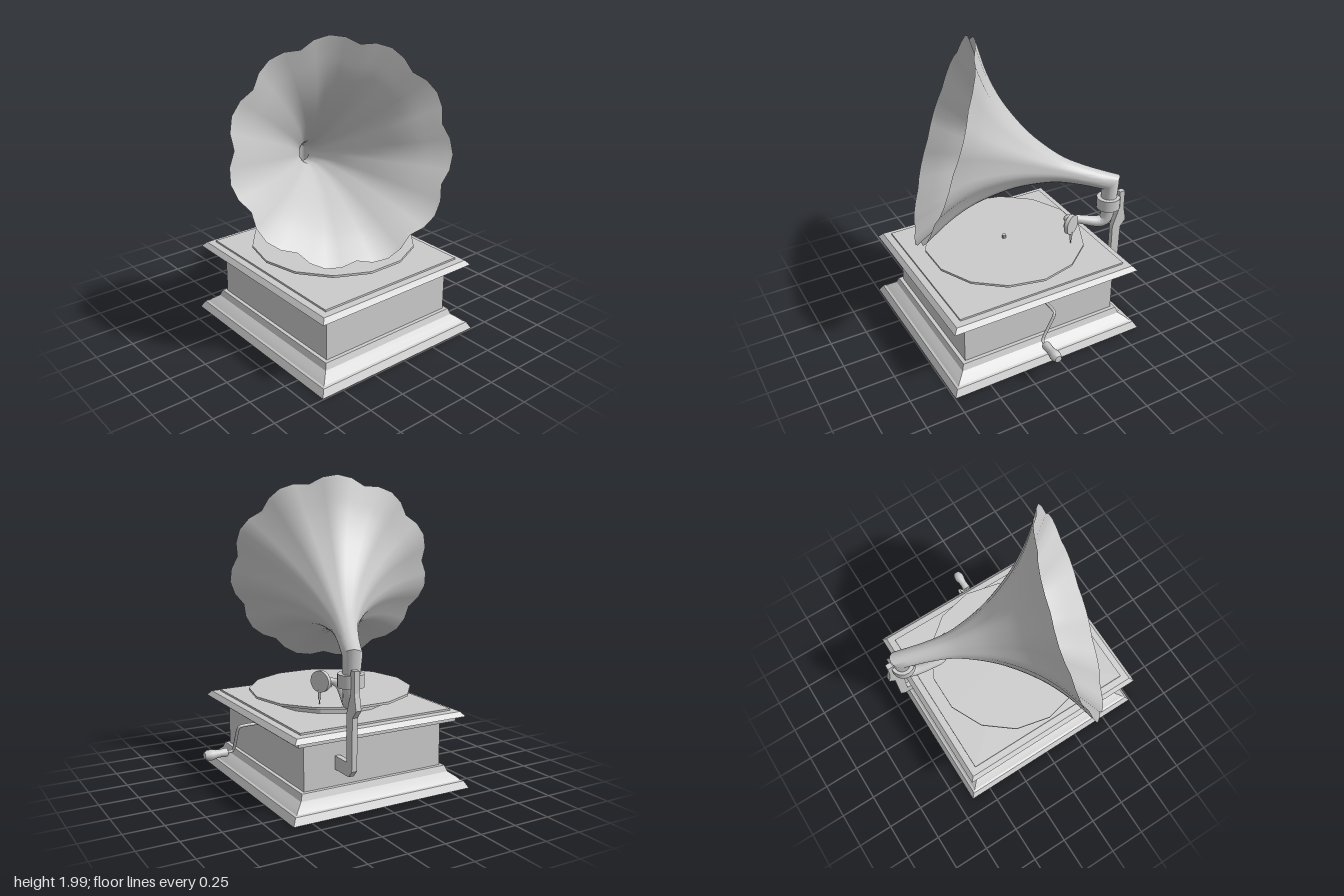
import * as THREE from 'three';
import { toCreasedNormals } from 'three/addons/utils/BufferGeometryUtils.js';

const V = (x, y, z) => new THREE.Vector3(x, y, z);
const grey = new THREE.MeshStandardMaterial({ color: 0xcccccc });
const greyDouble = new THREE.MeshStandardMaterial({ color: 0xcccccc, side: THREE.DoubleSide });
const CX = -0.015, CZ = 0.05; // centre of the cabinet and turntable

// Skin a list of closed rings with equal point counts
function loft(rings, crease) {
  const n = rings[0].length, index = [];
  for (let j = 0; j < rings.length - 1; j++) {
    for (let i = 0; i < n; i++) {
      const a = j * n + i, b = j * n + (i + 1) % n;
      index.push(a, b, a + n, b, b + n, a + n);
    }
  }
  const g = new THREE.BufferGeometry().setFromPoints(rings.flat());
  g.setIndex(index);
  return toCreasedNormals(g, crease);
}

// Ring of points around c, spanned by axes h and k; radius may vary with the angle
function ring(c, h, k, n, radius, start = 0) {
  return Array.from({ length: n }, (_, i) => {
    const a = start + i / n * Math.PI * 2, r = radius(i);
    return c.clone().addScaledVector(h, Math.cos(a) * r).addScaledVector(k, Math.sin(a) * r);
  });
}

// Flared, scalloped horn joined by a mitre to its upright neck
function hornGeometry() {
  const LOBES = 11, N = LOBES * 4, START = 0.75;
  const elbow = V(0.225, 0.965, -0.63), mouth = V(-0.205, 1.335, 0.385);
  const length = elbow.distanceTo(mouth);
  const n = mouth.clone().sub(elbow).normalize(), up = V(0, 1, 0);
  const h = up.clone().cross(n).normalize();
  const side = (t) => t.clone().cross(h);
  const mitre = n.clone().add(up).normalize();
  const rings = [
    ring(V(0.228, 0.78, -0.62), h, side(up), N, () => 0.05, START),
    ring(elbow, h, side(mitre).divideScalar(mitre.dot(up)), N, () => 0.06, START),
  ];
  const profile = new THREE.CatmullRomCurve3([
    [0.07, 0.061], [0.2, 0.066], [0.36, 0.085], [0.5, 0.128], [0.65, 0.192],
    [0.8, 0.282], [0.92, 0.372], [1.03, 0.48], [1.11, 0.58], [length, 0.65],
  ].map(([d, r]) => V(d, r, 0)));
  for (const p of profile.getPoints(27)) {
    const amp = 0.07 * p.x / length;
    const radius = (i) => p.y * (1 + amp * Math.abs(Math.sin(i * Math.PI / 4)));
    rings.push(ring(elbow.clone().addScaledVector(n, p.x), h, side(n), N, radius, START));
  }
  return loft(rings, 0.9);
}

// Tapered tube through points, radius going from r0 to r1
function taperedTube(points, r0, r1, steps = 24, sides = 12) {
  const curve = new THREE.CatmullRomCurve3(points);
  const f = curve.computeFrenetFrames(steps);
  const rings = [];
  for (let j = 0; j <= steps; j++) {
    const r = THREE.MathUtils.lerp(r0, r1, j / steps);
    rings.push(ring(curve.getPointAt(j / steps), f.normals[j], f.binormals[j], sides, () => r));
  }
  return loft(rings, 0.9);
}

export function createModel() {
  const model = new THREE.Group();
  const add = (name, geometry, x = 0, y = 0, z = 0, material = grey) => {
    const m = new THREE.Mesh(geometry, material);
    m.name = name;
    m.position.set(x, y, z);
    model.add(m);
    return m;
  };

  // Cabinet: rectangular mouldings, each profile point is [half width, height]
  const rect = ([w, y]) => {
    const d = w ? w + 0.06 : 0;
    return [V(w, y, d), V(w, y, -d), V(-w, y, -d), V(-w, y, d)];
  };
  const moulding = (name, profile) => add(name, loft(profile.map(rect), 0.25), CX, 0, CZ);
  moulding('plinth', [[0, 0], [0.635, 0], [0.61, 0.045], [0.595, 0.05], [0.575, 0.07],
    [0.535, 0.1], [0.52, 0.14], [0, 0.14]]);
  moulding('cabinetBody', [[0, 0.13], [0.495, 0.13], [0.495, 0.45], [0, 0.45]]);
  moulding('lid', [[0, 0.44], [0.565, 0.44], [0.565, 0.475], [0.612, 0.475], [0.585, 0.505],
    [0.54, 0.508], [0.54, 0.52], [0, 0.52]]);

  // Turntable
  const disc = (name, r, y0, y1, sides) => {
    const g = new THREE.CylinderGeometry(r, r, y1 - y0, sides);
    add(name, toCreasedNormals(g.rotateY(Math.PI / 2), 0.3), CX, (y0 + y1) / 2, CZ);
  };
  disc('turntableHub', 0.38, 0.515, 0.575, 14);
  disc('turntablePlatter', 0.538, 0.587, 0.602, 14);
  disc('spindle', 0.014, 0.57, 0.625, 10);

  // Horn and collar
  add('horn', hornGeometry(), 0, 0, 0, greyDouble);
  add('collar', new THREE.CylinderGeometry(0.08, 0.08, 0.08, 20), 0.228, 0.815, -0.62);

  // Tone arm with sound box and needle
  add('toneArm', taperedTube([V(0.228, 0.8, -0.62), V(0.228, 0.72, -0.615), V(0.222, 0.675, -0.595),
    V(0.205, 0.668, -0.55), V(0.175, 0.695, -0.45), V(0.158, 0.72, -0.37),
    V(0.175, 0.738, -0.325), V(0.25, 0.745, -0.315)], 0.05, 0.018), 0, 0, 0, greyDouble);
  const soundBox = new THREE.Group();
  soundBox.name = 'soundBox';
  soundBox.position.set(0.255, 0.745, -0.308);
  soundBox.quaternion.setFromUnitVectors(V(0, 1, 0), V(0.9, 0, -0.42).normalize());
  for (const [name, r, h, y] of [['soundBoxCase', 0.068, 0.026, 0], ['soundBoxBack', 0.045, 0.02, -0.02]]) {
    const m = new THREE.Mesh(new THREE.CylinderGeometry(r, r, h, 20), grey);
    m.name = name;
    m.position.y = y;
    soundBox.add(m);
  }
  model.add(soundBox);
  add('needleHolder', new THREE.CylinderGeometry(0.011, 0.008, 0.06, 8), 0.262, 0.66, -0.305);
  add('needle', new THREE.CylinderGeometry(0.005, 0.002, 0.04, 8), 0.262, 0.623, -0.305);

  // Rear support bracket, drawn in [distance behind centre, height]
  const outline = [[0.49, 0.245], [0.665, 0.245], [0.7, 0.285], [0.705, 0.61], [0.745, 0.66],
    [0.725, 0.76], [0.725, 0.89], [0.685, 0.89], [0.68, 0.74], [0.64, 0.63], [0.64, 0.33], [0.49, 0.33]];
  const shape = new THREE.Shape(outline.map(([d, y]) => new THREE.Vector2(d, y)));
  const bracket = new THREE.ExtrudeGeometry(shape, { depth: 0.036, bevelEnabled: false });
  add('supportBracket', bracket.translate(0, 0, -0.018).rotateY(Math.PI / 2), 0.25, 0, 0);

  // Winding crank and handle
  const crankPath = new THREE.CatmullRomCurve3([V(0.47, 0.425, 0.05), V(0.62, 0.425, 0.05),
    V(0.643, 0.42, 0.053), V(0.65, 0.4, 0.063), V(0.65, 0.26, 0.133),
    V(0.656, 0.24, 0.143), V(0.675, 0.235, 0.145), V(0.71, 0.235, 0.145)]);
  add('crank', new THREE.TubeGeometry(crankPath, 40, 0.01, 8));
  const grip = [[0, 0], [0.027, 0], [0.029, 0.015], [0.026, 0.05], [0.028, 0.075],
    [0.036, 0.105], [0.034, 0.13], [0.023, 0.153], [0, 0.155]];
  const handle = new THREE.LatheGeometry(grip.map(([r, y]) => new THREE.Vector2(r, y)), 12);
  add('crankHandle', toCreasedNormals(handle.rotateZ(-Math.PI / 2), 0.7), 0.695, 0.235, 0.145);

  return model;
}
